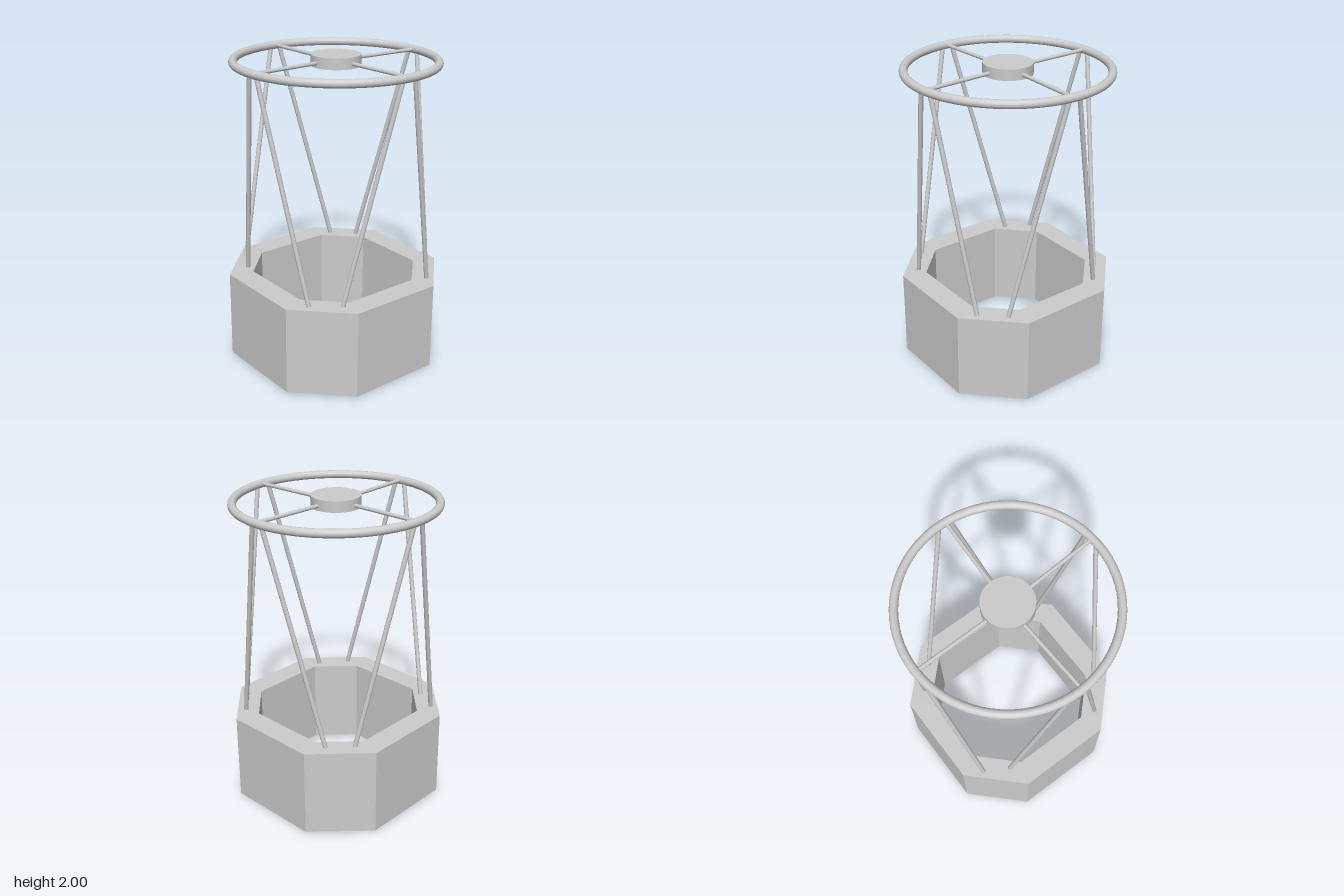
import * as THREE from 'three';

const material = new THREE.MeshStandardMaterial({ color: 0xcccccc });
const TILT = -0.01; // the whole frame leans back very slightly

function part(name, geometry, parent) {
  const mesh = new THREE.Mesh(geometry, material);
  mesh.name = name;
  parent.add(mesh);
  return mesh;
}

// Round bar between two points
function bar(name, from, to, radius, parent) {
  const a = new THREE.Vector3(...from);
  const b = new THREE.Vector3(...to);
  const dir = b.clone().sub(a);
  const mesh = part(name, new THREE.CylinderGeometry(radius, radius, dir.length(), 12), parent);
  mesh.position.copy(a).add(b).multiplyScalar(0.5);
  mesh.quaternion.setFromUnitVectors(new THREE.Vector3(0, 1, 0), dir.normalize());
}

// Eight corners with flats at distance a and half-length b
function octagon(a, b) {
  return [[a, -b], [a, b], [b, a], [-b, a], [-a, b], [-a, -b], [-b, -a], [b, -a]]
    .map(([x, y]) => new THREE.Vector2(x, y));
}

export function createModel() {
  const model = new THREE.Group();
  model.name = 'trussTower';

  // Hollow octagonal base
  const shape = new THREE.Shape(octagon(0.62, 0.31));
  shape.holes.push(new THREE.Path(octagon(0.472, 0.258).reverse()));
  const baseGeometry = new THREE.ExtrudeGeometry(shape, { depth: 0.573, bevelEnabled: false });
  baseGeometry.rotateX(-Math.PI / 2);
  const base = part('octagonalBase', baseGeometry, model);
  base.position.set(0, 0.008, 0.02);
  base.rotation.x = TILT;

  // Upper ring and central hub
  const top = new THREE.Group();
  top.name = 'topAssembly';
  top.position.set(0, 1.958, 0);
  top.rotation.x = TILT;
  model.add(top);
  const ringGeometry = new THREE.TorusGeometry(0.627, 0.026, 16, 72);
  ringGeometry.rotateX(Math.PI / 2);
  part('topRing', ringGeometry, top);
  part('hub', new THREE.CylinderGeometry(0.155, 0.155, 0.07, 48), top).position.y = 0.006;

  // Four spokes from hub to ring: [hub x, hub z, ring x, ring z]
  const spokes = [
    [0.14, -0.01, 0.625, -0.037],
    [-0.14, 0.004, -0.625, 0.011],
    [0.004, -0.14, 0.029, -0.625],
    [0, 0.14, 0.018, 0.625],
  ];
  for (const [x0, z0, x1, z1] of spokes) {
    bar('spoke', [x0, 0, z0], [x1, 0, z1], 0.012, top);
  }

  // Eight slanted struts, a pair per side: [foot x, foot z, head x, head z]
  const struts = [
    [-0.345, 0.47, -0.018, 0.62], [0.367, 0.5, 0.054, 0.62],
    [-0.35, -0.457, -0.018, -0.625], [0.367, -0.473, 0.054, -0.625],
    [0.487, 0.342, 0.615, 0.008], [0.505, -0.345, 0.615, -0.083],
    [-0.495, 0.39, -0.625, 0.048], [-0.472, -0.33, -0.625, -0.018],
  ];
  for (const [x0, z0, x1, z1] of struts) {
    bar('strut', [x0, 0.565, z0], [x1, 1.95, z1], 0.0145, model);
  }
  return model;
}
